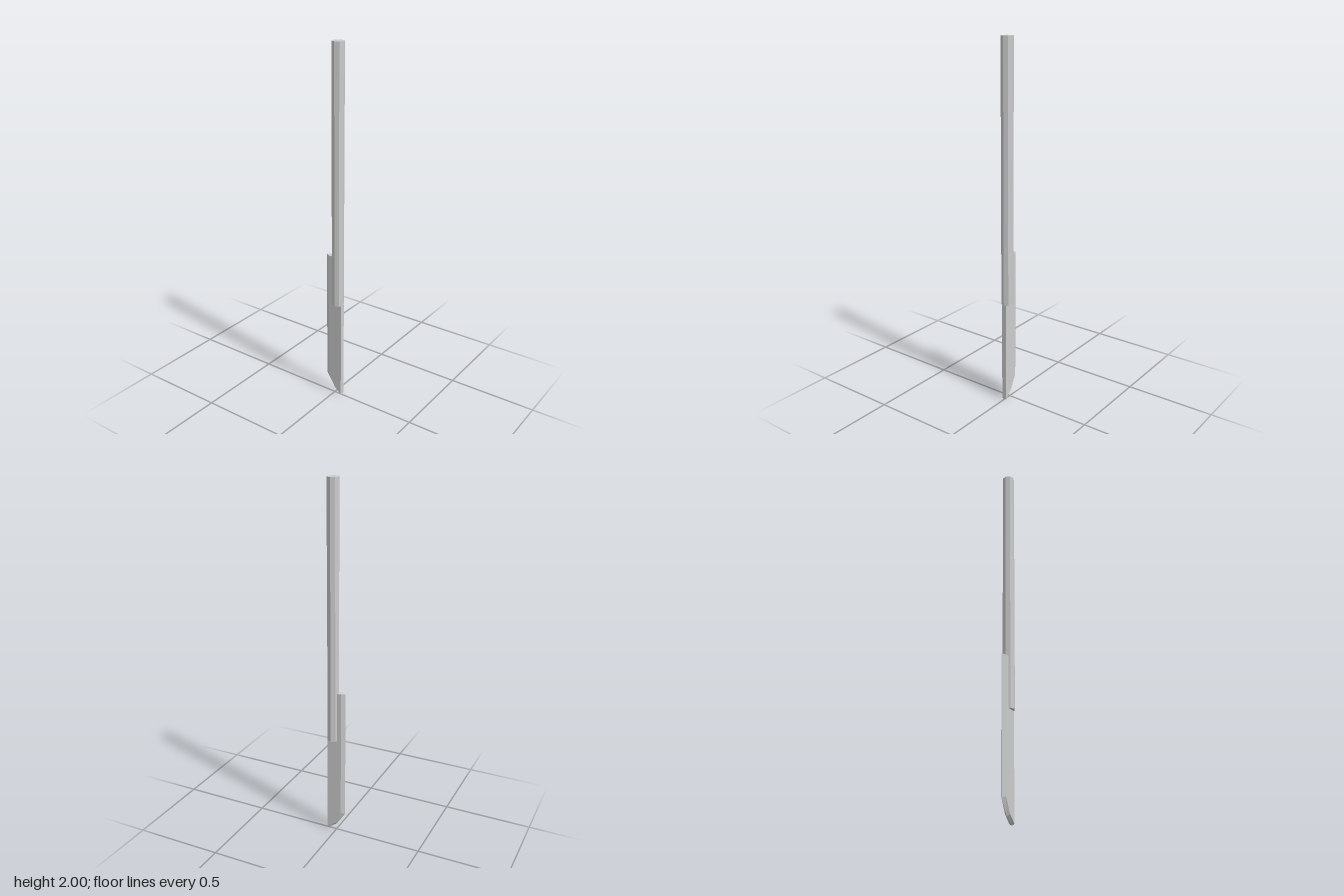
import * as THREE from 'three';

const material = new THREE.MeshStandardMaterial({ color: 0xcccccc, flatShading: true });

// Skin five-sided cross-sections, listed from top to bottom.
function loft(rings) {
  const pos = [];
  const tri = (...pts) => pts.forEach((p) => pos.push(...p));
  for (let i = 0; i < rings.length - 1; i++) {
    const up = rings[i], low = rings[i + 1], n = up.length;
    for (let j = 0; j < n; j++) {
      const k = (j + 1) % n;
      tri(up[j], low[j], up[k]);
      tri(up[k], low[j], low[k]);
    }
  }
  const top = rings[0], end = rings[rings.length - 1];
  for (let j = 1; j < top.length - 1; j++) {
    tri(top[0], top[j], top[j + 1]);
    tri(end[0], end[j + 1], end[j]);
  }
  const geo = new THREE.BufferGeometry();
  geo.setAttribute('position', new THREE.Float32BufferAttribute(pos, 3));
  geo.computeVertexNormals();
  return geo;
}

export function createModel() {
  const group = new THREE.Group();

  // Octagonal shaft
  const bottom = 0.577, height = 2 - bottom;
  const shaft = new THREE.Mesh(new THREE.CylinderGeometry(0.033, 0.033, height, 8), material);
  shaft.name = 'shaft';
  shaft.position.set(0, bottom + height / 2, 0.02);
  group.add(shaft);

  // Blade: flat spine at the front, bevelled cutting edge at the back, swept tip.
  // Each section holds [y, z] of the spine, the bevel line and the cutting edge.
  const h = 0.0135;
  const sections = [
    [[0.862, 0.02], [0.862, -0.032], [0.862, -0.053]],
    [[bottom, 0.02], [bottom, -0.032], [bottom, -0.053]],
    [[bottom, 0.051], [bottom, -0.032], [bottom, -0.053]],
    [[0.125, 0.051], [0.125, -0.032], [0.115, -0.053]],
    [[0.05, 0.051], [0.046, 0.008], [0.035, 0]],
    [[0.006, 0.051], [0.006, 0.051], [0, 0.051]],
  ];
  const blade = new THREE.Mesh(loft(sections.map(([s, b, e]) => [
    [h, ...s], [h, ...b], [0, ...e], [-h, ...b], [-h, ...s],
  ])), material);
  blade.name = 'blade';
  group.add(blade);

  return group;
}
